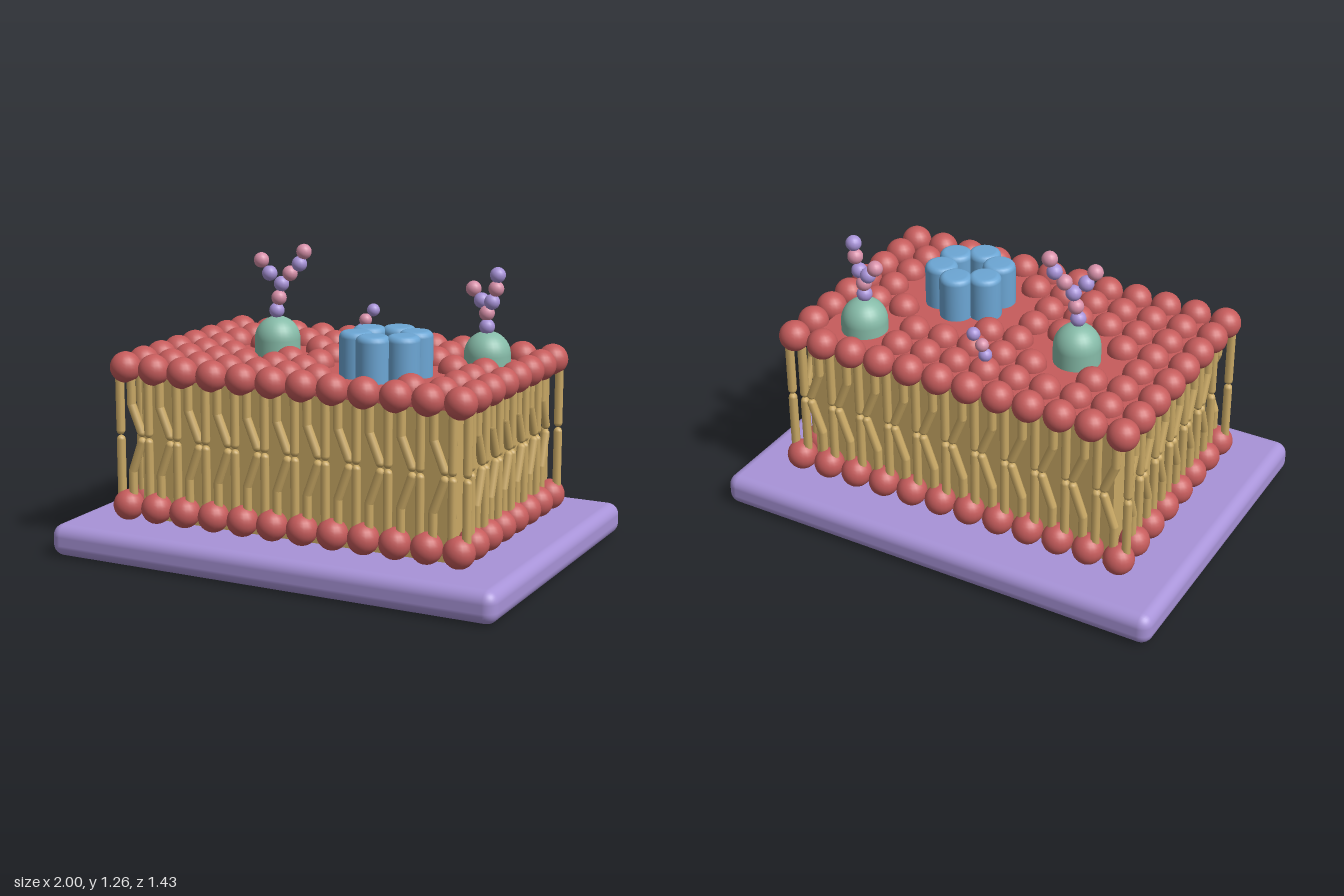
import * as THREE from 'three';
import { mergeGeometries } from 'three/addons/utils/BufferGeometryUtils.js';
import { RoundedBoxGeometry } from 'three/addons/geometries/RoundedBoxGeometry.js';

const COLS = 12, ROWS = 8, PITCH = 0.1372;
const TOP_Y = 0.785, BOTTOM_Y = 0.197, HEAD_R = 0.065;
const PORE = [0.27, 0.13];
const DOMES = [[-0.345, -0.075, 0.847], [0.54, -0.28, 0.822]]; // x, z, height where the cap starts

function material(name, color) {
  const m = new THREE.MeshStandardMaterial({ color });
  m.name = name;
  return m;
}

function ball(x, y, z, r, w = 20, h = 14) {
  return new THREE.SphereGeometry(r, w, h).translate(x, y, z);
}

// Round-ended rod between two points
function rod(a, b, r) {
  const dir = b.clone().sub(a);
  const g = new THREE.CapsuleGeometry(r, dir.length(), 3, 8);
  const q = new THREE.Quaternion().setFromUnitVectors(new THREE.Vector3(0, 1, 0), dir.normalize());
  const mid = a.clone().add(b).multiplyScalar(0.5);
  return g.applyQuaternion(q).translate(mid.x, mid.y, mid.z);
}

// Flat slab with a square opening under the channel
function slab(w, d, y0, y1) {
  const rect = (target, cx, cy, hw, hh) => {
    target.moveTo(cx - hw, cy - hh);
    target.lineTo(cx + hw, cy - hh);
    target.lineTo(cx + hw, cy + hh);
    target.lineTo(cx - hw, cy + hh);
    target.closePath();
    return target;
  };
  const shape = rect(new THREE.Shape(), 0, 0, w / 2, d / 2);
  shape.holes.push(rect(new THREE.Path(), PORE[0], -PORE[1], 0.04, 0.04));
  return new THREE.ExtrudeGeometry(shape, { depth: y1 - y0, bevelEnabled: false })
    .rotateX(-Math.PI / 2).translate(0, y0, 0);
}

export function createModel() {
  const group = new THREE.Group();
  const lilac = material('lilac', 0xa893d8);
  const red = material('red', 0xc65c5c);
  const tan = material('tan', 0xcbaa66);
  const teal = material('teal', 0x86bba8);
  const blue = material('blue', 0x6ca6d4);
  const pink = material('pink', 0xd68fa8);

  const add = (name, geometry, mat) => {
    const mesh = new THREE.Mesh(geometry, mat);
    mesh.name = name;
    group.add(mesh);
    return mesh;
  };

  // Base and solid middle of the membrane
  add('base', new RoundedBoxGeometry(2, 0.135, 1.43, 4, 0.05).translate(0, 0.0675, 0), lilac);
  add('membraneCore', slab(1.41, 0.88, 0.13, 0.74), tan);
  add('membraneSurface', slab(1.41, 0.88, 0.74, 0.78), red);

  // Heads on both faces, tails around the edge
  const topHeads = [], bottomHeads = [], tails = [];

  // One straight and one bent tail per leaflet, spread along a direction
  const addTails = (x, z, dx, dz, bend) => {
    const p = (s, y) => new THREE.Vector3(x + dx * s, y, z + dz * s);
    const r = 0.019;
    const straight = -0.031, bent = 0.025;
    [[0.75, 0.63, 0.514], [0.23, 0.345, 0.475]].forEach(([yHead, yBend, yMid]) => {
      tails.push(rod(p(straight, yHead), p(straight, yMid), r));
      if (bend) {
        tails.push(rod(p(bent, yHead), p(bent, yBend), r));
        tails.push(rod(p(bent, yBend), p(bent + 0.047, yMid), r));
      } else {
        tails.push(rod(p(0.031, yHead), p(0.031, yMid), r));
      }
    });
  };

  for (let i = 0; i < COLS; i++) {
    for (let j = 0; j < ROWS; j++) {
      const x = (i - (COLS - 1) / 2) * PITCH;
      const z = (j - (ROWS - 1) / 2) * PITCH;
      const endRow = j === 0 || j === ROWS - 1;
      const endCol = i === 0 || i === COLS - 1;
      const blocked = Math.hypot(x - PORE[0], z - PORE[1]) < 0.25
        || DOMES.some(([cx, cz]) => Math.hypot(x - cx, z - cz) < 0.16);
      if (!blocked) topHeads.push(ball(x, TOP_Y, z, HEAD_R));
      if (endRow || endCol) bottomHeads.push(ball(x, BOTTOM_Y, z, HEAD_R));
      if (endRow) addTails(x, z, 1, 0, i < COLS - 1);
      else if (endCol) addTails(x, z, 0, -1, true);
    }
  }
  add('topHeads', mergeGeometries(topHeads), red);
  add('bottomHeads', mergeGeometries(bottomHeads), red);
  add('tails', mergeGeometries(tails), tan);

  // Channel: ring of six columns with rounded tops
  const R = 0.07, soft = 0.025, columnTop = 0.967;
  const profile = [new THREE.Vector2(R, 0.72)];
  for (let k = 0; k <= 4; k++) {
    const a = (k / 4) * Math.PI / 2;
    profile.push(new THREE.Vector2(R - soft + soft * Math.cos(a), columnTop - soft + soft * Math.sin(a)));
  }
  profile.push(new THREE.Vector2(0, columnTop));
  for (let k = 0; k < 6; k++) {
    const a = (k / 6) * Math.PI * 2;
    const column = add('channelColumn', new THREE.LatheGeometry(profile, 24), blue);
    column.position.set(PORE[0] + 0.121 * Math.sin(a), 0, PORE[1] + 0.121 * Math.cos(a));
  }

  // Domed proteins
  DOMES.forEach(([x, z, y]) => {
    const r = 0.098;
    const points = [new THREE.Vector2(r, 0.74)];
    for (let k = 0; k <= 10; k++) {
      const a = (k / 10) * Math.PI / 2;
      points.push(new THREE.Vector2(k === 10 ? 0 : r * Math.cos(a), y + r * Math.sin(a)));
    }
    add('domeProtein', new THREE.LatheGeometry(points, 28), teal).position.set(x, 0, z);
  });

  // Sugar chains: alternating beads, listed as x, y, z, pink flag
  const chains = [
    { name: 'tallSugarChain', r: 0.033, beads: [
      [-0.345, 0.97, -0.07, 0], [-0.335, 1.025, -0.072, 1], [-0.325, 1.085, -0.076, 0],
      [-0.37, 1.13, -0.055, 0], [-0.405, 1.185, -0.047, 1],
      [-0.29, 1.13, -0.088, 1], [-0.25, 1.172, -0.098, 0], [-0.23, 1.225, -0.102, 1]] },
    { name: 'forkedSugarChain', r: 0.033, beads: [
      [0.54, 0.94, -0.272, 0], [0.535, 0.995, -0.28, 1],
      [0.505, 1.045, -0.293, 0], [0.465, 1.09, -0.3, 1],
      [0.56, 1.045, -0.273, 0], [0.58, 1.102, -0.268, 1], [0.587, 1.16, -0.266, 0]] },
    { name: 'shortSugarChain', r: 0.028, beads: [
      [-0.073, 0.865, -0.343, 0], [-0.06, 0.908, -0.346, 1], [-0.025, 0.953, -0.352, 0]] },
  ];
  chains.forEach(({ name, r, beads }) => {
    const chain = new THREE.Group();
    chain.name = name;
    beads.forEach(([x, y, z, isPink]) => {
      const bead = new THREE.Mesh(ball(x, y, z, r, 16, 12), isPink ? pink : lilac);
      bead.name = 'sugarBead';
      chain.add(bead);
    });
    group.add(chain);
  });

  return group;
}
